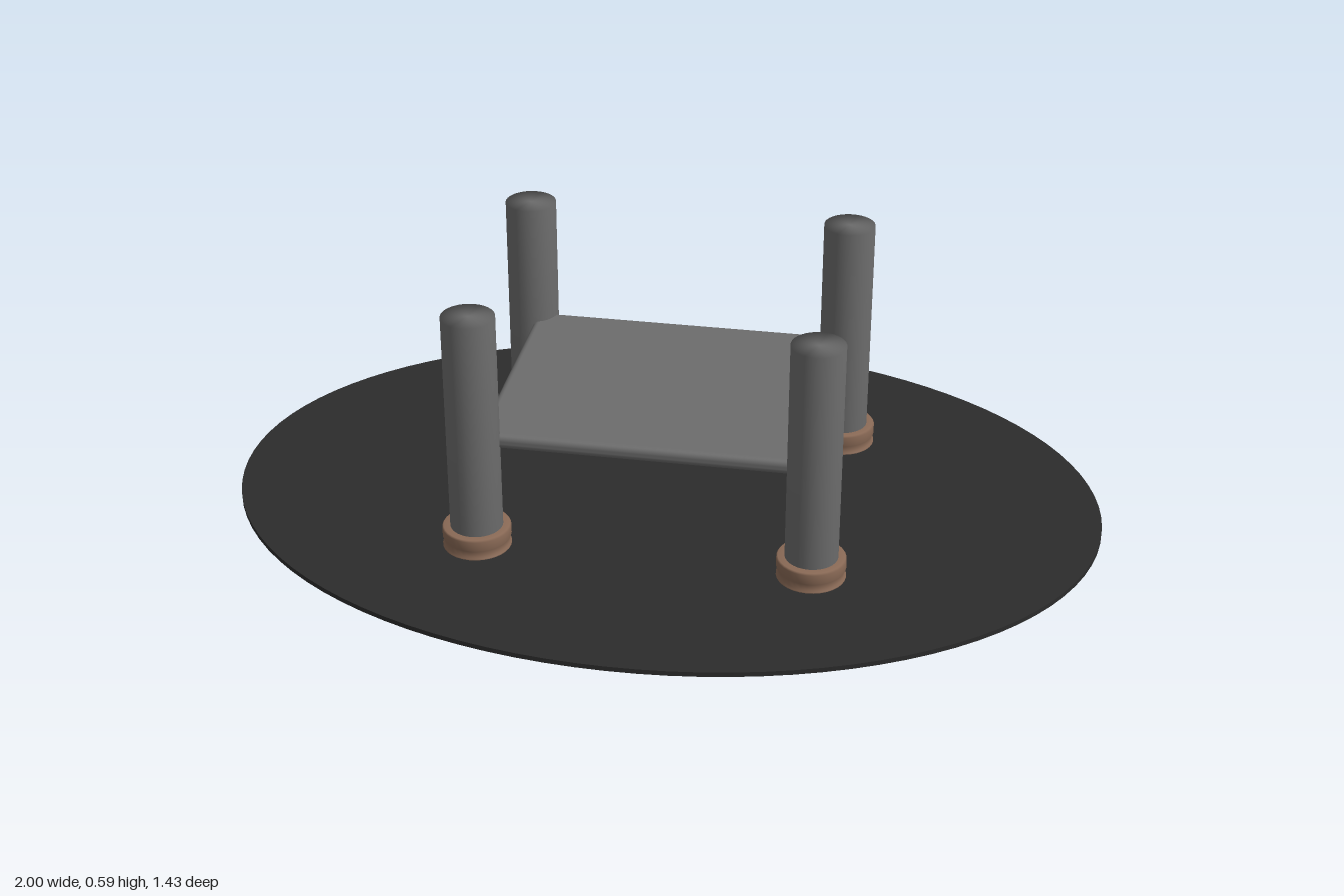
import * as THREE from 'three';
import { mergeVertices } from 'three/addons/utils/BufferGeometryUtils.js';
import { RoundedBoxGeometry } from 'three/addons/geometries/RoundedBoxGeometry.js';

const mat = (name, color) => {
  const m = new THREE.MeshStandardMaterial({ color });
  m.name = name;
  return m;
};

// Weld all corners so the shading rolls softly over the cylinder ends
function softened(geometry) {
  geometry.deleteAttribute('uv');
  geometry.deleteAttribute('normal');
  const welded = mergeVertices(geometry, 1e-4);
  welded.computeVertexNormals();
  return welded;
}

export function createModel() {
  const group = new THREE.Group();
  const grey = mat('grey metal', 0x6c6c6c);
  const black = mat('black base', 0x2c2c2c);
  const brown = mat('brown collar', 0x8a6a56);

  const add = (name, geometry, material, x, y, z) => {
    const mesh = new THREE.Mesh(geometry, material);
    mesh.name = name;
    mesh.position.set(x, y, z);
    group.add(mesh);
    return mesh;
  };

  // Thin oval base
  const base = add('ovalBase', new THREE.CylinderGeometry(1, 1, 0.011, 96), black, 0, 0.016, 0);
  base.scale.z = 0.717;

  // Shelf with softly rounded edges, its corners set into the posts
  add('shelf', new RoundedBoxGeometry(0.73, 0.036, 0.6, 4, 0.015), grey, 0, 0.283, 0);

  // Four posts, each in a grooved collar
  const postGeometry = softened(new THREE.CylinderGeometry(0.059, 0.059, 0.588, 32));
  const profile = [
    [0.055, 0.018], [0.077, 0.018], [0.077, 0.024], [0.073, 0.028], [0.073, 0.041],
    [0.077, 0.046], [0.077, 0.067], [0.074, 0.071], [0.055, 0.071],
  ].map(([r, y]) => new THREE.Vector2(r, y));
  const collarGeometry = new THREE.LatheGeometry(profile, 32);
  for (const x of [-0.375, 0.375]) {
    for (const z of [-0.3, 0.3]) {
      const place = (z > 0 ? 'front' : 'back') + (x > 0 ? 'Left' : 'Right');
      add(place + 'Post', postGeometry, grey, x, 0.294, z);
      add(place + 'Collar', collarGeometry, brown, x, 0, z);
    }
  }
  return group;
}
